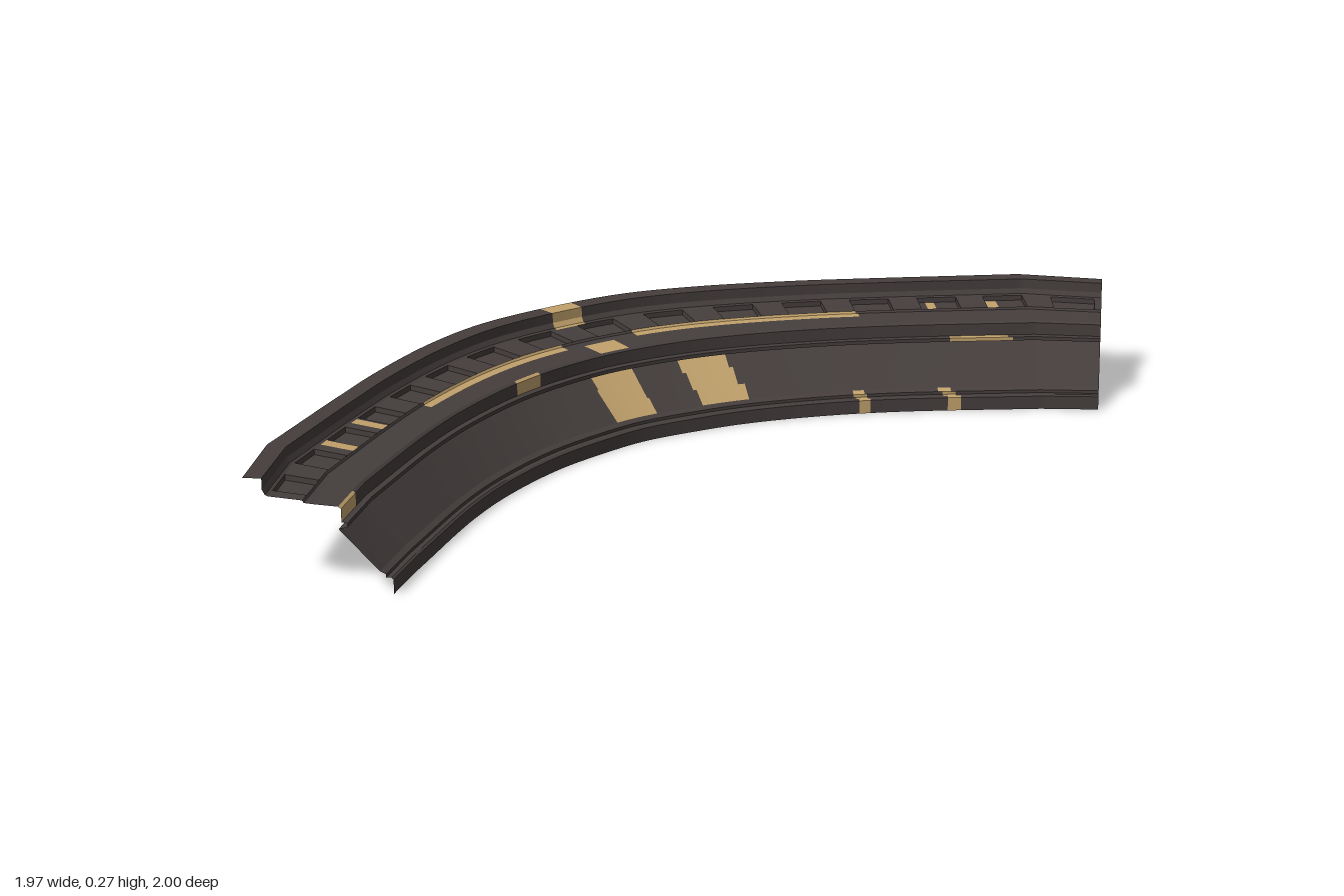
import * as THREE from 'three';

const stone = new THREE.MeshStandardMaterial({ color: 0x453e3d, side: THREE.DoubleSide });
stone.name = 'dark stone';
const gilt = new THREE.MeshStandardMaterial({ color: 0xc2a26c, side: THREE.DoubleSide });
gilt.name = 'gilding';

// Half of the plan: [outer x, outer z, inner x, inner z], from near the left end to the middle
const HALF = [
  [-0.985, 0.75, -0.61, 0.83], [-0.90, 0.36, -0.54, 0.45], [-0.845, 0.13, -0.48, 0.25],
  [-0.76, -0.13, -0.39, 0.05], [-0.66, -0.33, -0.305, -0.08],
];
const MIDDLE = [-0.51, -0.51, -0.205, -0.205];
const MIRRORED = HALF.map(([a, b, c, d]) => [b, a * 1.013, d, c]).reverse();
const STATIONS = [...HALF, MIDDLE, ...MIRRORED];
const ENDS = [[-0.985, 1, -0.635, 1], [0.985, -0.97, 0.985, -0.62]];

// Cross-section parts: [fraction from outer to inner rail, height]
const PARTS = {
  crown: [[0, 0.272], [0.13, 0.272], [0.13, 0.245], [0.15, 0.232], [0.17, 0.229]],
  soffitPanels: [[0.17, 0.229], [0.40, 0.222]],
  soffitBead: [[0.40, 0.222], [0.41, 0.216], [0.47, 0.214]],
  ledge: [[0.47, 0.214], [0.64, 0.210]],
  frieze: [[0.64, 0.210], [0.66, 0.205], [0.66, 0.172]],
  moulding: [[0.66, 0.172], [0.70, 0.170], [0.70, 0.160], [0.64, 0.155]],
  cove: [[0.64, 0.155], [0.72, 0.125], [0.82, 0.088], [0.91, 0.055]],
  base: [[0.91, 0.055], [0.95, 0.048], [0.95, 0.040], [0.985, 0.040], [1, 0.036], [1, 0]],
};

// Gilded stretches of each part, as ranges of x - z along the curve
const GILDED = {
  crown: [[-0.03, 0.11]],
  soffitPanels: [[1.335, 1.37], [1.535, 1.57], [-1.245, -1.21], [-1.455, -1.42]],
  soffitBead: [[0.21, 1.05], [-0.93, -0.115]],
  ledge: [[-0.03, 0.10]],
  frieze: [[-0.49, -0.36], [-1.76, -1.63]],
  moulding: [[1.26, 1.46]],
  cove: [[0.30, 0.49], [-0.09, 0.10]],
  base: [[0.855, 0.895], [1.145, 1.185]],
};

// Sample both rails together, with a straight run at each end
function makeColumns() {
  const v = (s, k) => new THREE.Vector3(s[k], 0, s[k + 1]);
  const curves = [0, 2].map((k) => new THREE.CatmullRomCurve3(STATIONS.map((s) => v(s, k))));
  const n = 330, run = 22, columns = [];
  for (let i = -run; i <= n + run; i++) {
    const t = Math.min(1, Math.max(0, i / n));
    const past = i < 0 ? -i / run : i > n ? (i - n) / run : 0;
    const end = ENDS[i < 0 ? 0 : 1];
    const [outer, inner] = curves.map((c, k) => c.getPoint(t).lerp(v(end, k * 2), past));
    columns.push({ outer, inner, length: 0 });
  }
  for (let i = 1; i < columns.length; i++) {
    const a = columns[i - 1], b = columns[i];
    const step = a.outer.clone().add(a.inner).sub(b.outer).sub(b.inner).length() / 2;
    b.length = a.length + step;
  }
  return columns;
}

const at = (col, [u, y]) => col.outer.clone().lerp(col.inner, u).setY(y);

// Mesh from two lists of quads, plain and gilded, sharing one vertex list
function quadMesh(name, points, quads) {
  const geometry = new THREE.BufferGeometry().setFromPoints(points);
  const index = [];
  quads.forEach((list, m) => {
    const start = index.length;
    list.forEach(([a, b, c, d]) => index.push(a, b, c, b, d, c));
    geometry.addGroup(start, index.length - start, m);
  });
  geometry.setIndex(index);
  geometry.computeVertexNormals();
  const mesh = new THREE.Mesh(geometry, [stone, gilt]);
  mesh.name = name;
  return mesh;
}

function isGilded(name, p, q) {
  const s = (p.x - p.z + q.x - q.z) / 2;
  return GILDED[name].some(([lo, hi]) => s >= lo && s <= hi);
}

// Sweep a profile along the curve: smooth lengthwise, creased between facets
function sweep(name, columns) {
  const profile = PARTS[name], points = [], quads = [[], []];
  for (let r = 0; r < profile.length - 1; r++) {
    columns.forEach((col, i) => {
      const k = points.length;
      points.push(at(col, profile[r]), at(col, profile[r + 1]));
      if (i === 0) return;
      const paint = isGilded(name, points[k - 2], points[k + 1]) ? 1 : 0;
      quads[paint].push([k - 2, k, k - 1, k + 1]);
    });
  }
  return quadMesh(name, points, quads);
}

// Soffit strip with a row of shallow sunk panels
function panelStrip(name, columns) {
  const [a, b] = PARTS[name], points = [], quads = [[], []];
  const depth = 0.014, pitch = 0.183;
  const add = (paint, ...corners) => {
    const k = points.length;
    points.push(...corners);
    quads[paint].push([k, k + 1, k + 2, k + 3]);
  };
  const sunk = (i) => {
    const col = columns[i];
    const f = (col.length / pitch) % 1;
    return f > 0.2 && f < 0.76;
  };
  const low = ([u, y]) => [u, y - depth];
  for (let i = 0; i < columns.length - 1; i++) {
    const c = columns[i], d = columns[i + 1], down = sunk(i);
    const [p, q] = down ? [low(a), low(b)] : [a, b];
    const paint = isGilded(name, at(c, a), at(d, b)) ? 1 : 0;
    add(paint, at(c, p), at(d, p), at(c, q), at(d, q));
    if (down) {
      add(0, at(c, a), at(d, a), at(c, p), at(d, p));
      add(0, at(c, q), at(d, q), at(c, b), at(d, b));
    }
    if (i > 0 && sunk(i - 1) !== down) {
      const sides = [at(c, a), at(c, b), at(c, low(a)), at(c, low(b))];
      if (down) add(paint, ...sides);
      else add(paint, sides[2], sides[3], sides[0], sides[1]);
    }
  }
  return quadMesh(name, points, quads);
}

export function createModel() {
  const group = new THREE.Group();
  group.name = 'curvedCornice';
  const columns = makeColumns();
  for (const name of Object.keys(PARTS)) {
    group.add(name === 'soffitPanels' ? panelStrip(name, columns) : sweep(name, columns));
  }
  return group;
}
